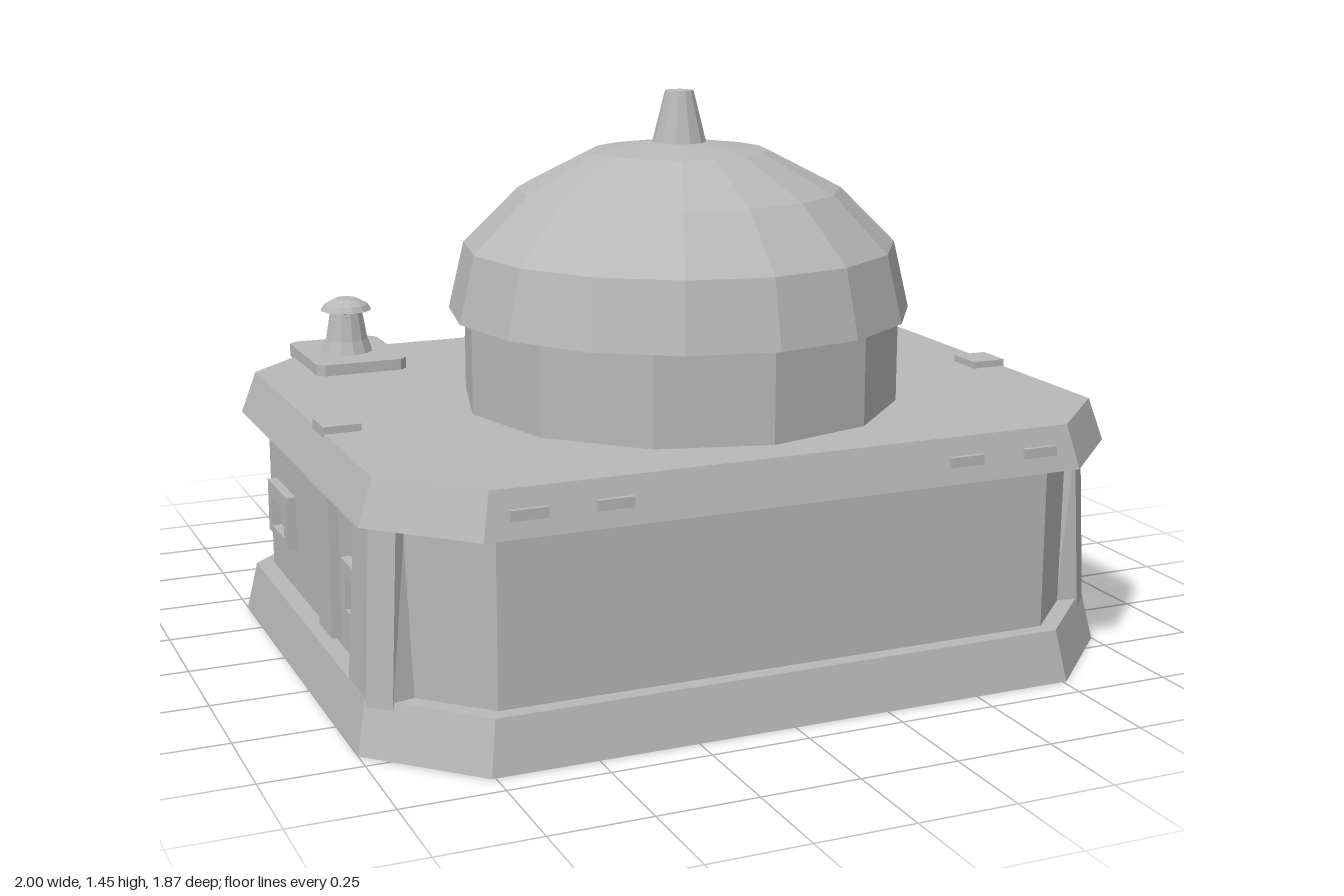
import * as THREE from 'three';

const stone = new THREE.MeshStandardMaterial({ color: 0xb8b8b8, flatShading: true, side: THREE.DoubleSide });
stone.name = 'grey stone';

// Joins rings of [x, z] points, each at its own height, into a closed or open solid
function loft(rings, heights, bottom = true, top = true) {
  const [r0] = rings;
  let area = 0;
  r0.forEach((p, i) => { const q = r0[(i + 1) % r0.length]; area += p[0] * q[1] - q[0] * p[1]; });
  const pts = rings.map((r, k) => {
    const list = r.map(([x, z]) => [x, heights[k], z]);
    return area > 0 ? list.reverse() : list;
  });
  const out = [];
  const tri = (a, b, c) => out.push(...a, ...b, ...c);
  const n = r0.length;
  for (let k = 0; k < pts.length - 1; k++) {
    for (let i = 0; i < n; i++) {
      const j = (i + 1) % n;
      tri(pts[k][i], pts[k][j], pts[k + 1][j]);
      tri(pts[k][i], pts[k + 1][j], pts[k + 1][i]);
    }
  }
  const last = pts[pts.length - 1];
  for (let i = 1; i < n - 1; i++) {
    if (bottom) tri(pts[0][0], pts[0][i + 1], pts[0][i]);
    if (top) tri(last[0], last[i], last[i + 1]);
  }
  const g = new THREE.BufferGeometry();
  g.setAttribute('position', new THREE.Float32BufferAttribute(out, 3));
  g.computeVertexNormals();
  return g;
}

// Rectangle with cut corners
function octagon(cx, cz, hx, hz, c) {
  const pts = [[hx, hz - c], [hx - c, hz], [c - hx, hz], [-hx, hz - c], [-hx, c - hz], [c - hx, -hz], [hx - c, -hz], [hx, c - hz]];
  return pts.map(([x, z]) => [x + cx, z + cz]);
}

// Upright slab from an outline in x and y, between two depths
function slab(points, z0, z1, hole) {
  const shape = new THREE.Shape(points.map(p => new THREE.Vector2(...p)));
  if (hole) shape.holes.push(new THREE.Path(hole.map(p => new THREE.Vector2(...p))));
  return new THREE.ExtrudeGeometry(shape, { depth: z1 - z0, bevelEnabled: false }).translate(0, 0, z0);
}

// Box from its limits
function box(x0, x1, y0, y1, z0, z1) {
  return new THREE.BoxGeometry(Math.abs(x1 - x0), y1 - y0, z1 - z0).translate((x0 + x1) / 2, (y0 + y1) / 2, (z0 + z1) / 2);
}

const rect = (w, y0, y1) => [[-w, y0], [w, y0], [w, y1], [-w, y1]];
const arch = (w, y0, shoulder, topW, top) => [[-w, y0], [w, y0], [w, shoulder], [topW, top], [-topW, top], [-w, shoulder]];

function lathe(profile, sides, x, z) {
  return new THREE.LatheGeometry(profile.map(p => new THREE.Vector2(...p)), sides).translate(x, 0, z);
}

export function createModel() {
  const model = new THREE.Group();
  model.name = 'domedBuilding';
  const add = (name, geometry) => {
    const m = new THREE.Mesh(geometry, stone);
    m.name = name;
    model.add(m);
  };
  const cz = 0.13;

  // Hollow flared base, walls and cornice
  add('base', loft([octagon(0, cz, 1, 0.8, 0.24), octagon(0, cz, 0.975, 0.773, 0.235), octagon(0, cz, 0.93, 0.735, 0.21)],
    [0, 0.13, 0.131], false, false));
  add('walls', loft([octagon(0, cz, 0.93, 0.735, 0.21), octagon(0, cz, 0.93, 0.735, 0.21)], [0.125, 0.56]));
  add('cornice', loft([octagon(0, cz, 0.99, 0.8, 0.22), octagon(0, cz, 0.952, 0.772, 0.205)], [0.55, 0.66]));

  // Drum, faceted dome and finial
  const dz = 0.24;
  add('drum', lathe([[0.56, 0.65], [0.56, 0.9]], 12, 0, dz));
  add('dome', lathe([[0.5, 0.89], [0.59, 0.89], [0.55, 1.06], [0.41, 1.2], [0.225, 1.295], [0, 1.325]], 16, 0, dz));
  add('finial', lathe([[0.07, 1.31], [0.036, 1.445], [0, 1.445]], 12, 0, dz));

  for (const s of [1, -1]) {
    const flip = pts => pts.map(([x, z]) => [s * x, z]);

    // Roof turrets at the back corners
    add('turretPlate', loft([octagon(s * 0.685, -0.475, 0.125, 0.165, 0.02), octagon(s * 0.685, -0.475, 0.125, 0.165, 0.02)], [0.655, 0.69]));
    add('turret', lathe([[0.07, 0.69], [0.058, 0.725], [0.045, 0.8], [0.07, 0.805], [0.06, 0.82], [0.028, 0.837], [0, 0.837]], 12, s * 0.685, -0.475));

    // Roof tabs and cornice plates
    add('roofTab', box(s * 0.86, s * 0.955, 0.64, 0.678, 0.19, 0.29));
    for (const x of [0.455, 0.66]) add('cornicePlate', box(s * (x - 0.045), s * (x + 0.045), 0.59, 0.615, 0.9, 0.925));

    // Leaning piers wrapped around the wall corners
    add('frontPier', loft([
      flip([[0.975, 0.53], [0.975, 0.675], [0.925, 0.725], [0.865, 0.715], [0.865, 0.53]]),
      flip([[0.955, 0.545], [0.955, 0.665], [0.905, 0.715], [0.88, 0.7], [0.88, 0.545]]),
    ], [0.11, 0.54]));
    add('backPier', loft([
      flip([[0.56, -0.66], [0.75, -0.66], [0.815, -0.6], [0.78, -0.56], [0.56, -0.56]]),
      flip([[0.58, -0.638], [0.735, -0.638], [0.825, -0.55], [0.8, -0.515], [0.58, -0.515]]),
    ], [0.07, 0.54]));

    // Side pilaster and windows
    add('sidePilaster', box(s * 0.9, s * 0.955, 0.15, 0.55, 0.19, 0.31));
    for (const z of [0.515, -0.222]) {
      const frame = slab(rect(0.102, 0.25, 0.39), 0, 0.03, rect(0.066, 0.27, 0.347));
      add('windowFrame', frame.rotateY(s * Math.PI / 2).translate(s * 0.925, 0, z));
    }

    // Portal buttresses
    add('portalButtress', loft([
      flip([[0.3, -0.6], [0.46, -0.6], [0.46, -0.74], [0.42, -0.77], [0.3, -0.77]]),
      flip([[0.3, -0.6], [0.4, -0.6], [0.4, -0.73], [0.37, -0.755], [0.3, -0.755]]),
      flip([[0.25, -0.6], [0.33, -0.6], [0.33, -0.72], [0.31, -0.74], [0.25, -0.74]]),
    ], [0.07, 0.46, 0.57]));

    // Door leaves with handles
    add('doorLeaf', box(s * 0.03, s * 0.16, 0.13, 0.42, -0.815, -0.79));
    add('doorHandle', box(s * 0.055, s * 0.08, 0.28, 0.39, -0.83, -0.81));
    add('doorKnob', box(s * 0.058, s * 0.077, 0.28, 0.32, -0.843, -0.83));
  }

  // Entrance portal at the back
  add('portal', slab(arch(0.36, 0.07, 0.5, 0.25, 0.64), -0.755, -0.6));
  add('doorSurround', slab(arch(0.325, 0.12, 0.4, 0.19, 0.585), -0.8, -0.75));
  add('doorPlate', box(-0.09, 0.09, 0.51, 0.575, -0.83, -0.795));
  add('portalLamp', box(-0.08, 0.08, 0.605, 0.645, -0.78, -0.75));
  add('upperStep', box(-0.335, 0.335, 0.055, 0.12, -0.855, -0.71));
  add('lowerStep', box(-0.37, 0.37, 0, 0.055, -0.94, -0.71));

  return model;
}
